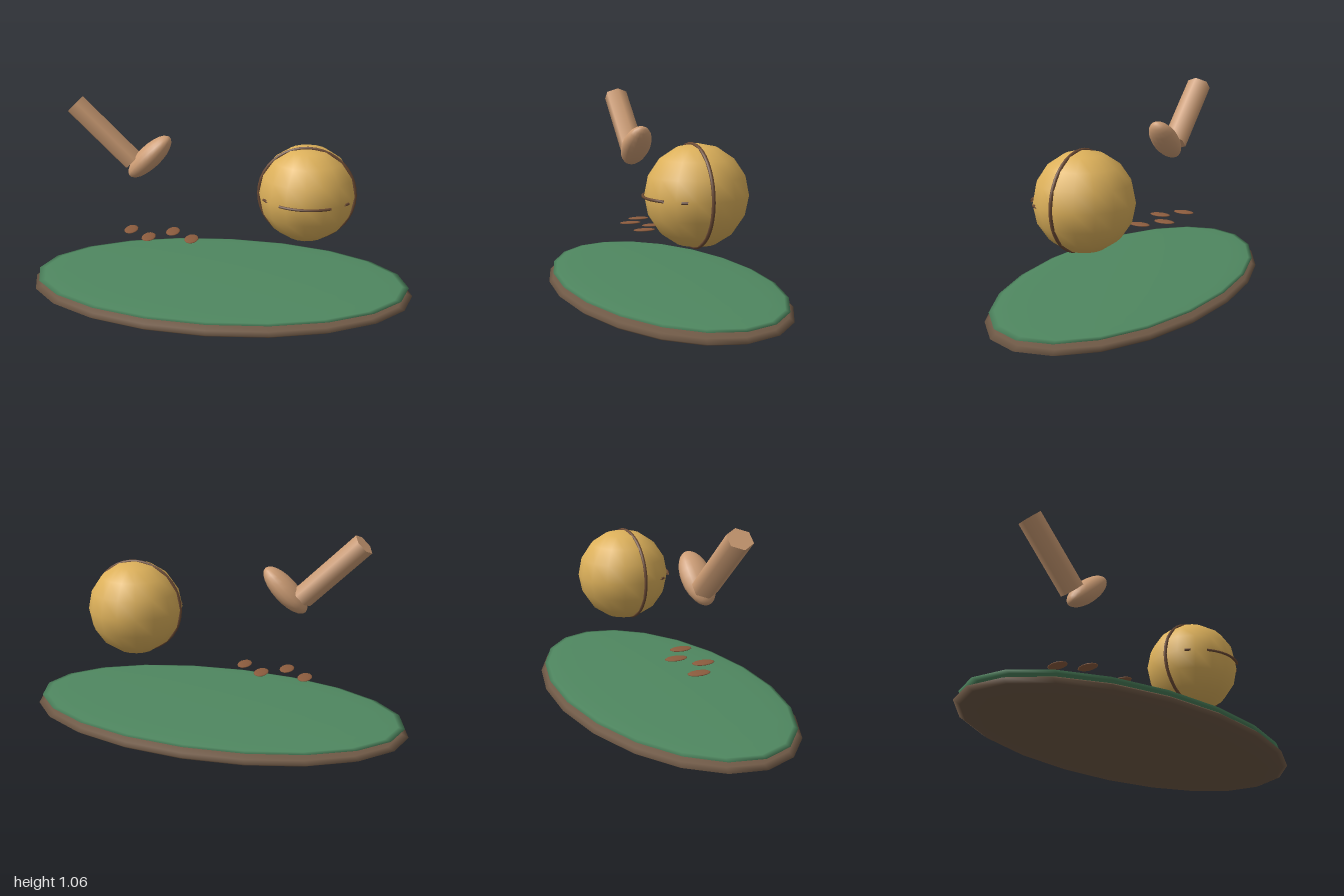
import * as THREE from 'three';

const paint = (color) => new THREE.MeshStandardMaterial({ color });

export function createModel() {
  const model = new THREE.Group();
  const soil = paint(0x6f5946), grass = paint(0x4f8760), gold = paint(0xdcb05a);
  const wood = paint(0x6b4a34), skin = paint(0xcc9c74), seedBrown = paint(0x8c5c3e);

  const add = (name, geometry, material, x, y, z) => {
    const mesh = new THREE.Mesh(geometry, material);
    mesh.name = name;
    mesh.position.set(x, y, z);
    model.add(mesh);
    return mesh;
  };
  const ellipsoid = (name, material, pos, radii, w = 20, h = 12) => {
    const mesh = add(name, new THREE.SphereGeometry(1, w, h), material, ...pos);
    mesh.scale.set(...radii);
    return mesh;
  };

  // Flat oval ground: dark body with a thin green layer on top
  ellipsoid('groundBase', soil, [0, 0.06, 0], [1, 0.058, 0.545]);
  ellipsoid('groundTop', grass, [0, 0.104, 0], [0.98, 0.019, 0.522]);

  // Ball with an upright hoop
  const ball = [0.44, 0.6, 0];
  ellipsoid('ball', gold, ball, [0.243, 0.243, 0.243], 16, 8);
  add('ballHoop', new THREE.TorusGeometry(0.239, 0.009, 8, 40), wood, ball[0], ball[1], 0.022);

  // Narrow strips hugging the front of the ball at its equator
  const strip = (name, from, to) => {
    const points = [];
    for (let i = 0; i <= 8; i++) {
      const a = THREE.MathUtils.degToRad(from + ((to - from) * i) / 8);
      points.push(new THREE.Vector3(0.24 * Math.sin(a), 0, 0.25 * Math.cos(a)));
    }
    const tube = new THREE.TubeGeometry(new THREE.CatmullRomCurve3(points), 12, 0.007, 6);
    add(name, tube, wood, ...ball).material.side = THREE.DoubleSide;
  };
  strip('frontStrip', -31, 31);
  strip('leftStripEnd', 52, 59);
  strip('rightStripEnd', -59, -52);

  // Six-sided forearm sloping down to a flattened hand
  const armShape = new THREE.CylinderGeometry(0.057, 0.057, 0.404, 6).rotateY(Math.PI / 6);
  const arm = add('forearm', armShape, skin, -0.586, 0.876, 0);
  arm.scale.z = 1.17;
  arm.rotation.z = Math.PI / 4;
  const hand = ellipsoid('hand', skin, [-0.355, 0.76, 0.01], [0.058, 0.147, 0.08], 16, 12);
  hand.rotation.z = -Math.PI / 4;

  // Falling seeds in a zigzag row
  for (let i = 0; i < 4; i++) {
    const z = i % 2 ? 0.043 : -0.045;
    ellipsoid('seed', seedBrown, [-0.478 + i * 0.112, 0.335, z], [0.036, 0.006, 0.06], 12, 8);
  }
  return model;
}
